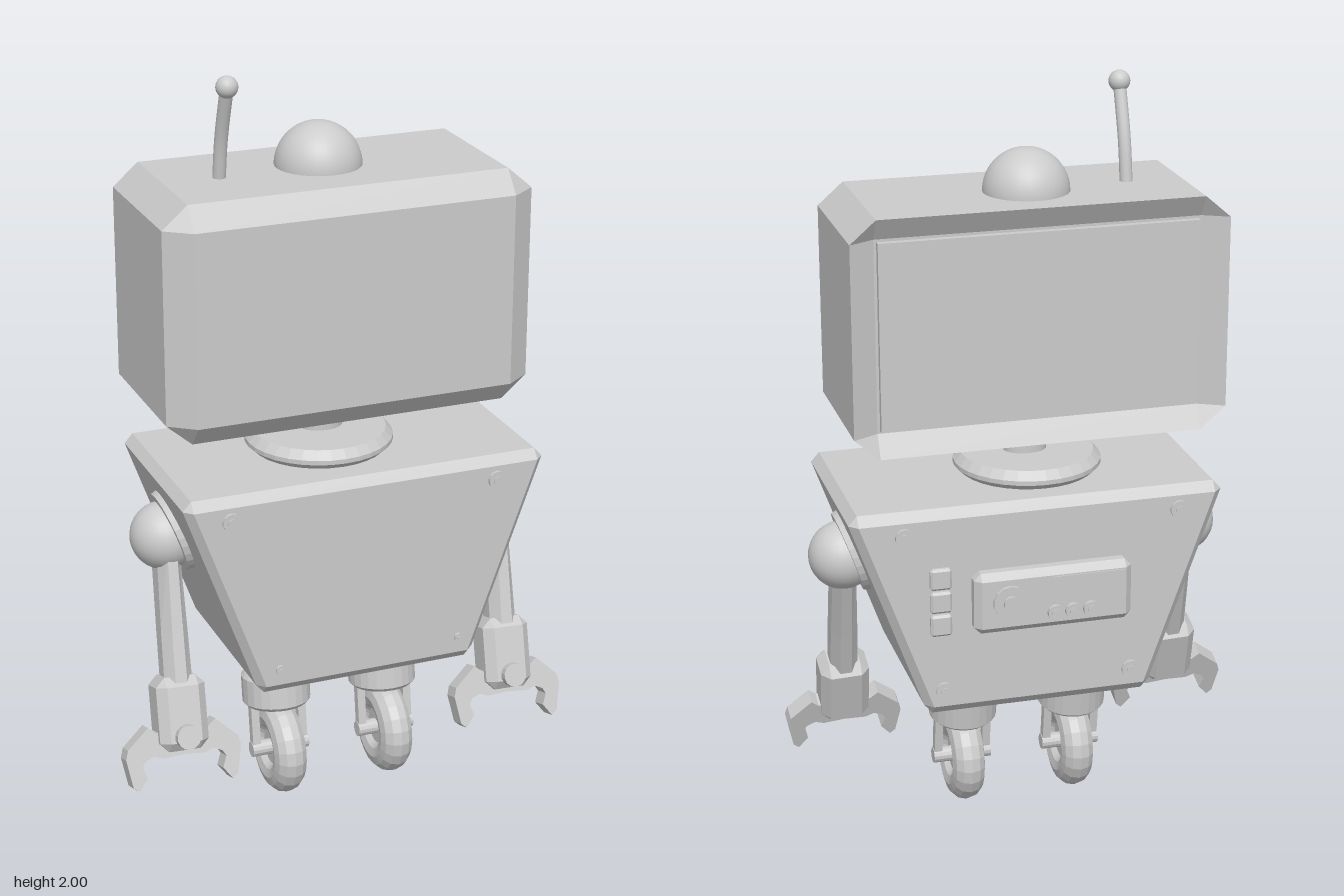
import * as THREE from 'three';

const smooth = new THREE.MeshStandardMaterial({ color: 0xcccccc });
const flat = new THREE.MeshStandardMaterial({ color: 0xcccccc, flatShading: true });

function add(parent, name, geometry, material = flat, x = 0, y = 0, z = 0) {
  const mesh = new THREE.Mesh(geometry, material);
  mesh.name = name;
  mesh.position.set(x, y, z);
  parent.add(mesh);
  return mesh;
}

// Joins equal-length rings (counter-clockwise seen from +z) and caps both ends.
function loft(rings) {
  const pos = [], n = rings[0].length;
  const tri = (a, b, c) => pos.push(...a, ...b, ...c);
  for (let k = 0; k < rings.length - 1; k++) {
    for (let i = 0; i < n; i++) {
      const a = rings[k], b = rings[k + 1], j = (i + 1) % n;
      tri(a[i], a[j], b[j]);
      tri(a[i], b[j], b[i]);
    }
  }
  const first = rings[0], last = rings[rings.length - 1];
  for (let i = 1; i < n - 1; i++) {
    tri(first[0], first[i + 1], first[i]);
    tri(last[0], last[i], last[i + 1]);
  }
  const geometry = new THREE.BufferGeometry();
  geometry.setAttribute('position', new THREE.Float32BufferAttribute(pos, 3));
  geometry.computeVertexNormals();
  return geometry;
}

// Block with chamfered edges; half widths may differ at top and bottom, the back may be sunk by a depth.
function chamferBlock({ top, bottom = top, y0, y1, z0, z1, cx, cy = cx, cz = cx, recess = 0 }) {
  const ring = (half, z) => {
    const right = half
      ? [[bottom - cx, y0], [bottom, y0 + cy], [top, y1 - cy], [top - cx, y1]]
      : [[bottom - cx, y0 + cy], [bottom - cx, y0 + cy], [top - cx, y1 - cy], [top - cx, y1 - cy]];
    const left = right.map(([x, y]) => [-x, y]).reverse();
    return [...right, ...left].map(([x, y]) => [x, y, z]);
  };
  return loft([
    ring(false, z0 + recess),
    ring(true, recess ? z0 : z0 + cz),
    ring(true, z1 - cz),
    ring(false, z1),
  ]);
}

// Round stud whose axis points along z
function stud(parent, name, r, depth, x, y, z) {
  const geometry = new THREE.CylinderGeometry(r, r, depth, 14).rotateX(Math.PI / 2);
  return add(parent, name, geometry, flat, x, y, z);
}

function buildHead() {
  const head = new THREE.Group();
  head.name = 'head';
  add(head, 'headShell', chamferBlock({
    top: 0.49, y0: 1.107, y1: 1.727, z0: -0.18, z1: 0.26, cx: 0.067, cy: 0.058, cz: 0.05, recess: 0.035,
  }));
  add(head, 'backPanel', new THREE.BoxGeometry(0.832, 0.49, 0.03), flat, 0, 1.417, -0.147);
  add(head, 'dome', new THREE.SphereGeometry(0.112, 32, 16, 0, Math.PI * 2, 0, Math.PI / 2), smooth, -0.005, 1.726, 0);
  const curve = new THREE.CatmullRomCurve3([
    new THREE.Vector3(-0.277, 1.71, 0.02),
    new THREE.Vector3(-0.277, 1.83, 0.042),
    new THREE.Vector3(-0.277, 1.97, 0.09),
  ]);
  add(head, 'antenna', new THREE.TubeGeometry(curve, 14, 0.017, 12), smooth);
  add(head, 'antennaTip', new THREE.SphereGeometry(0.028, 20, 14), smooth, -0.277, 1.972, 0.09);
  return head;
}

function buildNeck() {
  const neck = new THREE.Group();
  neck.name = 'neck';
  add(neck, 'neckPost', new THREE.CylinderGeometry(0.058, 0.058, 0.15, 24).scale(1, 1, 0.78), smooth, -0.006, 1.055, 0.02);
  const profile = [[0, 0.965], [0.165, 0.965], [0.195, 0.993], [0.195, 1.005], [0.176, 1.027], [0, 1.027]];
  const collar = new THREE.LatheGeometry(profile.map(([r, y]) => new THREE.Vector2(r, y)), 32);
  add(neck, 'neckCollar', collar, flat, -0.012, 0, 0.02);
  return neck;
}

function buildBody() {
  const body = new THREE.Group();
  body.name = 'body';
  add(body, 'torso', chamferBlock({
    top: 0.494, bottom: 0.306, y0: 0.407, y1: 0.977, z0: -0.237, z1: 0.285, cx: 0.022, cy: 0.025, cz: 0.022,
  }), flat, 0.024);

  // Corner bolts with a raised centre
  for (const [x, y, front] of [[-0.35, 0.915, 0.024], [0.38, 0.915, 0.024], [-0.223, 0.477, 0.012], [0.28, 0.477, 0.012]]) {
    for (const [z, dir, r] of [[0.285, 1, front], [-0.237, -1, 0.024]]) {
      stud(body, 'bolt', r, 0.016, x, y, z);
      stud(body, 'boltCentre', r * 0.45, 0.012, x, y, z + dir * 0.005);
    }
  }

  // Back control panel
  add(body, 'controlPanel', chamferBlock({ top: 0.21, y0: 0.637, y1: 0.803, z0: -0.278, z1: -0.21, cx: 0.018 }), flat, -0.004);
  add(body, 'display', new THREE.BoxGeometry(0.19, 0.075, 0.012), flat, -0.097, 0.744, -0.275);
  stud(body, 'dial', 0.045, 0.024, 0.115, 0.725, -0.276);
  stud(body, 'dialCap', 0.02, 0.016, 0.115, 0.725, -0.288);
  for (const x of [-0.1, -0.052, -0.005]) {
    stud(body, 'button', 0.021, 0.02, x, 0.683, -0.279);
    stud(body, 'buttonCap', 0.011, 0.012, x, 0.683, -0.286);
  }
  for (const y of [0.793, 0.729, 0.665]) {
    add(body, 'indicator', chamferBlock({ top: 0.028, y0: -0.029, y1: 0.029, z0: -0.014, z1: 0.014, cx: 0.006 }), flat, 0.288, y, -0.237);
  }
  return body;
}

function buildArm(side) {
  const arm = new THREE.Group();
  arm.name = side > 0 ? 'leftArm' : 'rightArm';
  arm.position.set(0.024 + side * 0.465, 0.78, 0.015);

  // Shoulder ball on a disc lying against the sloping flank
  add(arm, 'shoulderBall', new THREE.SphereGeometry(0.09, 28, 18), smooth);
  const disc = add(arm, 'shoulderDisc', new THREE.CylinderGeometry(0.108, 0.118, 0.035, 28), flat, -side * 0.03, 0.012, 0);
  disc.rotation.z = -side * (Math.PI / 2 + 0.33);

  // Hanging limb, swung slightly forward
  const limb = new THREE.Group();
  limb.name = 'limb';
  limb.rotation.set(-0.322, 0, -0.042);
  arm.add(limb);
  const ring = (hx, hz, y) => {
    const pts = [];
    for (let i = 0; i < 8; i++) {
      const a = Math.PI / 8 + (i * Math.PI) / 4;
      pts.push([hx * 1.08 * Math.cos(a), y, -hz * 1.08 * Math.sin(a)]);
    }
    return pts;
  };
  add(limb, 'forearm', loft([ring(0.038, 0.05, -0.39), ring(0.036, 0.053, -0.25), ring(0.031, 0.062, -0.03)]));
  add(limb, 'wrist', chamferBlock({ top: 0.066, y0: -0.562, y1: -0.367, z0: -0.058, z1: 0.058, cx: 0.024 }));
  stud(limb, 'wristPin', 0.032, 0.08, 0, -0.522, 0.04);

  // Pair of hooked jaws
  const outline = [
    [0, -0.505], [0.072, -0.51], [0.092, -0.493], [0.15, -0.545], [0.157, -0.57], [0.143, -0.645], [0.128, -0.658],
    [0.103, -0.626], [0.114, -0.595], [0.105, -0.58], [0.082, -0.57], [0.058, -0.579], [0, -0.575],
  ];
  for (const dir of [-1, 1]) {
    const shape = new THREE.Shape(outline.map(([x, y]) => new THREE.Vector2(dir * x, y)));
    const jaw = new THREE.ExtrudeGeometry(shape, { depth: 0.05, bevelEnabled: false });
    add(limb, 'jaw', jaw, flat, 0, 0, -0.03);
  }
  return arm;
}

function buildLeg(side) {
  const leg = new THREE.Group();
  leg.name = side > 0 ? 'leftLeg' : 'rightLeg';
  leg.position.x = 0.006 + side * 0.154;

  // Post and collar lean slightly forward
  const mount = new THREE.Group();
  mount.name = 'mount';
  mount.position.set(0, 0.3, 0.05);
  mount.rotation.x = -0.14;
  leg.add(mount);
  add(mount, 'post', new THREE.CylinderGeometry(0.047, 0.047, 0.15, 20), smooth, 0, 0.09, -0.01);
  const profile = [[0, -0.046], [0.082, -0.046], [0.092, -0.036], [0.092, 0.036], [0.082, 0.046], [0, 0.046]];
  add(mount, 'collar', new THREE.LatheGeometry(profile.map(([r, y]) => new THREE.Vector2(r, y)), 24));
  for (const x of [-0.067, 0.067]) {
    add(mount, 'forkProng', new THREE.BoxGeometry(0.022, 0.15, 0.024), flat, x, -0.105, 0);
  }

  // Wheel rolling along z
  const wheel = new THREE.Group();
  wheel.name = 'wheel';
  wheel.position.set(0, 0.13, 0.073);
  wheel.rotation.y = Math.PI / 2;
  leg.add(wheel);
  add(wheel, 'tyre', new THREE.TorusGeometry(0.085, 0.045, 12, 22));
  stud(wheel, 'wheelDisc', 0.06, 0.05, 0, 0, 0);
  stud(wheel, 'axle', 0.021, 0.16, 0, 0, 0);
  return leg;
}

export function createModel() {
  const robot = new THREE.Group();
  robot.name = 'robot';
  robot.add(buildHead(), buildNeck(), buildBody());
  for (const side of [-1, 1]) robot.add(buildArm(side), buildLeg(side));
  return robot;
}
